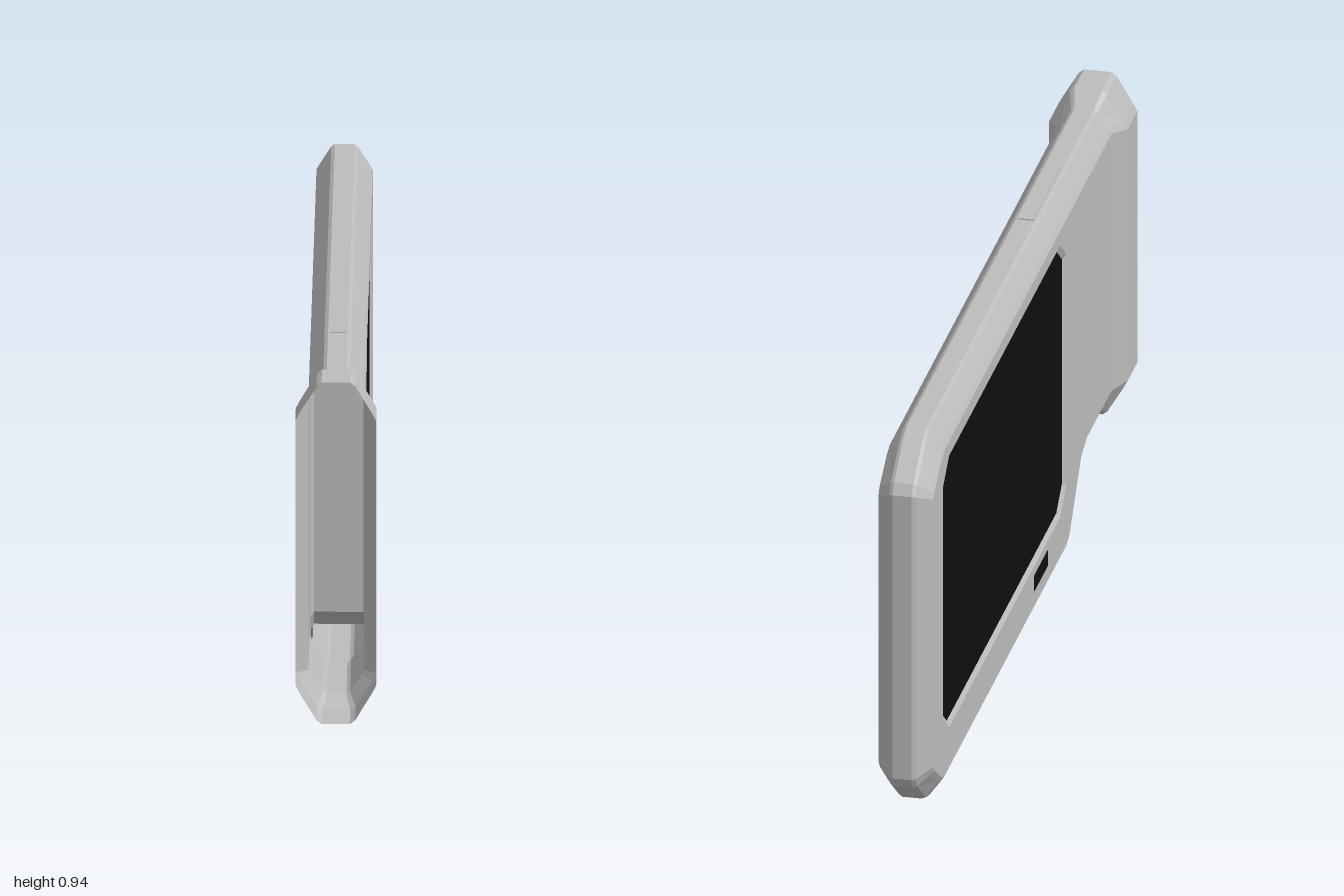
import * as THREE from 'three';

const grey = new THREE.MeshStandardMaterial({ color: 0xbcbcbc, side: THREE.DoubleSide });
grey.name = 'shellGrey';
const black = new THREE.MeshStandardMaterial({ color: 0x0e0e0e });
black.name = 'screenBlack';

// Faceted skin through a list of rings of [x, y, z] points
function loft(rings, closed) {
  const pos = [];
  const n = rings[0].length;
  for (let i = 0; i < rings.length - 1; i++) {
    for (let j = 0; j < (closed ? n : n - 1); j++) {
      const k = (j + 1) % n;
      const a = rings[i][j], b = rings[i][k], c = rings[i + 1][k], d = rings[i + 1][j];
      pos.push(...a, ...b, ...c, ...a, ...c, ...d);
    }
  }
  const g = new THREE.BufferGeometry();
  g.setAttribute('position', new THREE.Float32BufferAttribute(pos, 3));
  g.computeVertexNormals();
  return g;
}

// Flat panel facing sideways, from a [z, y] outline; s = 1 or -1 picks the side
function sidePanel(outline, x, s, hole) {
  const pts = o => o.map(([z, y]) => new THREE.Vector2(-s * z, y));
  const shape = new THREE.Shape(pts(outline));
  if (hole) shape.holes.push(new THREE.Path(pts(hole)));
  return new THREE.ShapeGeometry(shape).rotateY(s * Math.PI / 2).translate(s * x, 0, 0);
}

// Rectangle with cut corners as a [z, y] outline
function cutRect(z0, z1, y0, y1, c) {
  const k = c * 0.8;
  return [[z0 - c, y1], [z1 + c, y1], [z1, y1 - k], [z1, y0 + k],
    [z1 + c, y0], [z0 - c, y0], [z0, y0 + k], [z0, y1 - k]];
}

export function createModel() {
  const model = new THREE.Group();
  const add = (name, geometry, material) => {
    const m = new THREE.Mesh(geometry, material);
    m.name = name;
    model.add(m);
  };
  const W = 0.0625; // half width of the body

  // Edge profile: [x, share of the way from outer outline to side face]
  const edge = [[W, 1], [0.056, 0.8], [0.03, 0.1], [0.022, 0]];
  const across = [...edge, ...edge.slice().reverse().map(([x, t]) => [-x, t])];

  // Body outlines [z, y]: middle ridge, and the smaller side face
  const ridge = [[0.86, 0.905], [-0.86, 0.905], [-0.9, 0.885], [-0.985, 0.825], [-1, 0.8],
    [-1, 0.105], [-0.985, 0.08], [-0.9, 0.015], [-0.86, 0],
    [0.42, 0], [0.46, 0.018], [0.58, 0.145], [0.63, 0.165], [0.86, 0.165]];
  const face = [[0.86, 0.85], [-0.845, 0.85], [-0.875, 0.84], [-0.95, 0.795], [-0.96, 0.78],
    [-0.96, 0.125], [-0.95, 0.11], [-0.875, 0.06], [-0.845, 0.05],
    [0.4, 0.05], [0.43, 0.062], [0.55, 0.2], [0.61, 0.22], [0.86, 0.22]];
  add('bodyEdge', loft(across.map(([x, t]) => ridge.map(([z, y], i) => [
    x,
    THREE.MathUtils.lerp(y, face[i][1], t),
    THREE.MathUtils.lerp(z, face[i][0], t),
  ])), false), grey);

  // Flared open mouth at the front
  const section = (k, bottom, top, d, z) => [
    ...across.map(([x, t]) => [x * k, top - d * t, z]),
    ...across.map(([x, t]) => [-x * k, bottom + d * t, z]),
  ];
  add('mouthFlare', loft([
    section(1, 0.165, 0.905, 0.055, 0.86),
    section(1.44, 0.138, 0.935, 0.09, 0.905),
    section(1.44, 0.138, 0.935, 0.09, 1),
  ], true), grey);

  // Bevelled screen recess, running through the hollow body
  const opening = cutRect(0.398, -0.862, 0.148, 0.815, 0.062);
  const screen = cutRect(0.386, -0.85, 0.16, 0.803, 0.058);
  const ring = (o, x) => o.map(([z, y]) => [x, y, z]);
  add('screenFrame', loft([
    ring(opening, W), ring(screen, 0.055), ring(screen, -0.055), ring(opening, -W),
  ], true), grey);

  // Side faces, screens and slots on both sides
  for (const s of [1, -1]) {
    const side = s > 0 ? 'left' : 'right';
    add(side + 'SideFace', sidePanel(face, W, s, opening), grey);
    add(side + 'Screen', sidePanel(screen, 0.055, s), black);
    const slot = new THREE.BoxGeometry(0.004, 0.036, 0.138).translate(s * W, 0.108, 0.134);
    add(side + 'Slot', slot, black);
  }

  // Thin raised strip on the top edge
  add('topStrip', new THREE.BoxGeometry(0.036, 0.004, 0.28).translate(0, 0.906, 0.4), grey);

  return model;
}
